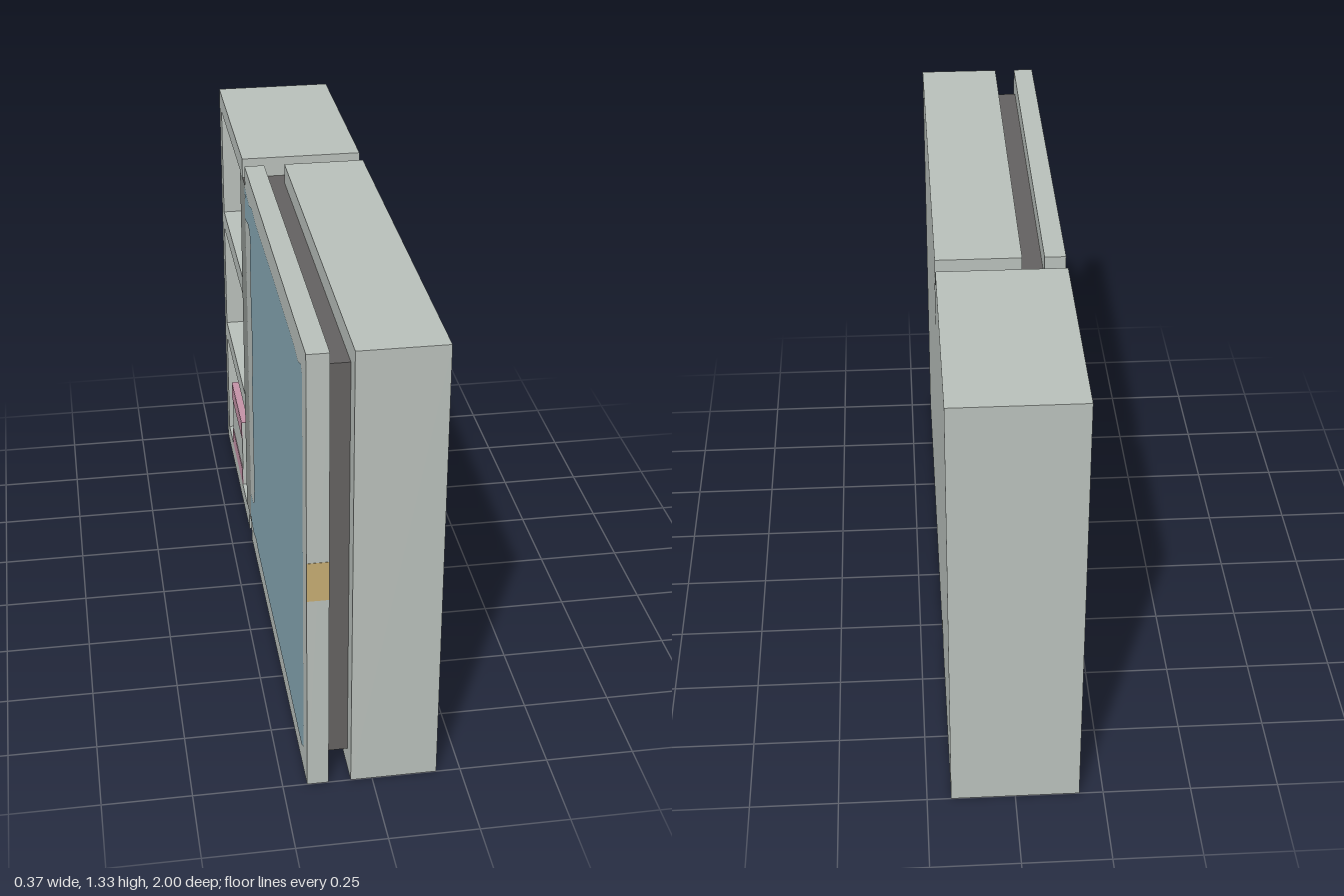
import * as THREE from 'three';

const mat = (name, color, side = THREE.FrontSide) => {
  const m = new THREE.MeshStandardMaterial({ color, side });
  m.name = name;
  return m;
};

export function createModel() {
  const root = new THREE.Group();
  const shell = mat('pale grey shell', 0xb8bfba);
  const dark = mat('dark slot grey', 0x636160);
  const mid = mat('mid grey seam', 0x8e938f);
  const blue = mat('muted blue', 0x86a6b2);
  const gold = mat('gold tab', 0xc5ab72);
  const pink = mat('pink', 0xc291a6);

  const X = 0.182, H = 1.333, LO = 0.062, HI = 1.273;
  const add = (name, geo, material) => {
    const m = new THREE.Mesh(geo, material);
    m.name = name;
    root.add(m);
    return m;
  };
  // box from its minimum and maximum corners
  const box = (name, material, x0, x1, y0, y1, z0, z1) => {
    const g = new THREE.BoxGeometry(x1 - x0, y1 - y0, z1 - z0);
    g.translate((x0 + x1) / 2, (y0 + y1) / 2, (z0 + z1) / 2);
    return add(name, g, material);
  };
  const rect = (C, z0, z1, y0, y1) => new C([[z0, y0], [z1, y0], [z1, y1], [z0, y1]]
    .map(p => new THREE.Vector2(...p)));
  // flat face drawn in (z, y), looking towards -x
  const decal = (name, shape, material, x) =>
    add(name, new THREE.ShapeGeometry(shape, 6).rotateY(-Math.PI / 2).translate(x, 0, 0), material);

  // Thick front slab and the thin panel beside it, with a slot between
  box('mainSlab', shell, -0.06, X, 0, H, -0.272, 1);
  box('sidePanel', shell, -X, -0.122, 0, H, -0.272, 1);
  box('slotFoot', shell, -0.122, -0.06, 0, LO, -0.272, -0.21);

  // Plate inside the slot
  box('slotPlate', dark, -0.122, -0.06, LO, HI, -0.272, 0.94);

  // Joining bar between the slab and the cabinet: +x, -x, top, bottom, +z, -z
  box('joiningBar', [shell, mid, dark, shell, dark, dark], -X, X, LO, HI, -0.335, -0.272);

  // Cabinet with three open compartments
  const frame = rect(THREE.Shape, -1, -0.335, 0, H);
  const pitch = (HI - LO + 0.062) / 3;
  for (let i = 0; i < 3; i++) {
    const y = LO + i * pitch;
    frame.holes.push(rect(THREE.Path, -0.942, -0.39, y, y + pitch - 0.062));
  }
  add('cabinetFrame', new THREE.ExtrudeGeometry(frame, { depth: 0.12 + X, bevelEnabled: false })
    .rotateY(-Math.PI / 2).translate(0.12, 0, 0), shell);
  box('cabinetBack', shell, 0.12, X, 0, H, -1, -0.335);

  // Grey seam strip on the open side
  decal('seamStrip', rect(THREE.Shape, -0.39, -0.272, LO + 0.01, HI), mid, -X - 0.001);

  // Rounded grey patch under the top notch on the closed side
  const patch = new THREE.Shape();
  patch.moveTo(0.272, HI);
  patch.lineTo(0.272, 1.17);
  patch.quadraticCurveTo(0.274, 1.148, 0.295, 1.148);
  patch.lineTo(0.312, 1.148);
  patch.quadraticCurveTo(0.333, 1.148, 0.335, 1.17);
  patch.lineTo(0.335, HI);
  add('notchPatch', new THREE.ShapeGeometry(patch, 6).rotateY(Math.PI / 2)
    .translate(X + 0.001, 0, 0), mid);

  // Uneven blue field on the side panel, with a bare strip by the seam
  const field = new THREE.Shape([
    [-0.27, 0.075], [-0.2, 0.065], [-0.14, 0.08], [-0.08, 0.07], [0.2, 0.065], [0.6, 0.07],
    [0.9, 0.06], [0.935, 0.08], [0.945, 0.16], [0.938, 0.5], [0.943, 0.9], [0.94, 1.2],
    [0.945, 1.245], [0.92, 1.268], [0.87, 1.25], [0.8, 1.26], [0.4, 1.262], [0, 1.258],
    [-0.09, 1.27], [-0.16, 1.25], [-0.27, 1.268], [-0.27, 1.16], [-0.2, 1.175], [-0.16, 1.165],
    [-0.145, 1.13], [-0.16, 1.06], [-0.16, 0.9], [-0.147, 0.82], [-0.15, 0.72], [-0.165, 0.65],
    [-0.165, 0.25], [-0.175, 0.2], [-0.2, 0.185], [-0.27, 0.18],
  ].map(p => new THREE.Vector2(...p)));
  decal('blueField', field, blue, -X - 0.001);

  // Gold tab on the front edge of the panel
  box('goldTab', gold, -X, -0.122, 0.61, 0.728, 1, 1.001);

  // Small stepped unit standing in the bottom compartment
  const top = 0.305;
  box('unitBody', shell, -0.122, 0.075, LO, top, -0.93, -0.42);
  box('unitFront', shell, -X + 0.002, -0.122, LO, top, -0.823, -0.525);
  box('unitTop', pink, -0.122, 0.075, top, top + 0.002, -0.93, -0.42);
  box('unitFrontTop', pink, -X + 0.001, -0.122, top, top + 0.002, -0.823, -0.525);
  for (const [name, y] of [['unitLowerBand', LO], ['unitUpperBand', top - 0.06]])
    box(name, pink, -X, -X + 0.002, y, y + 0.06, -0.823, -0.525);

  return root;
}
